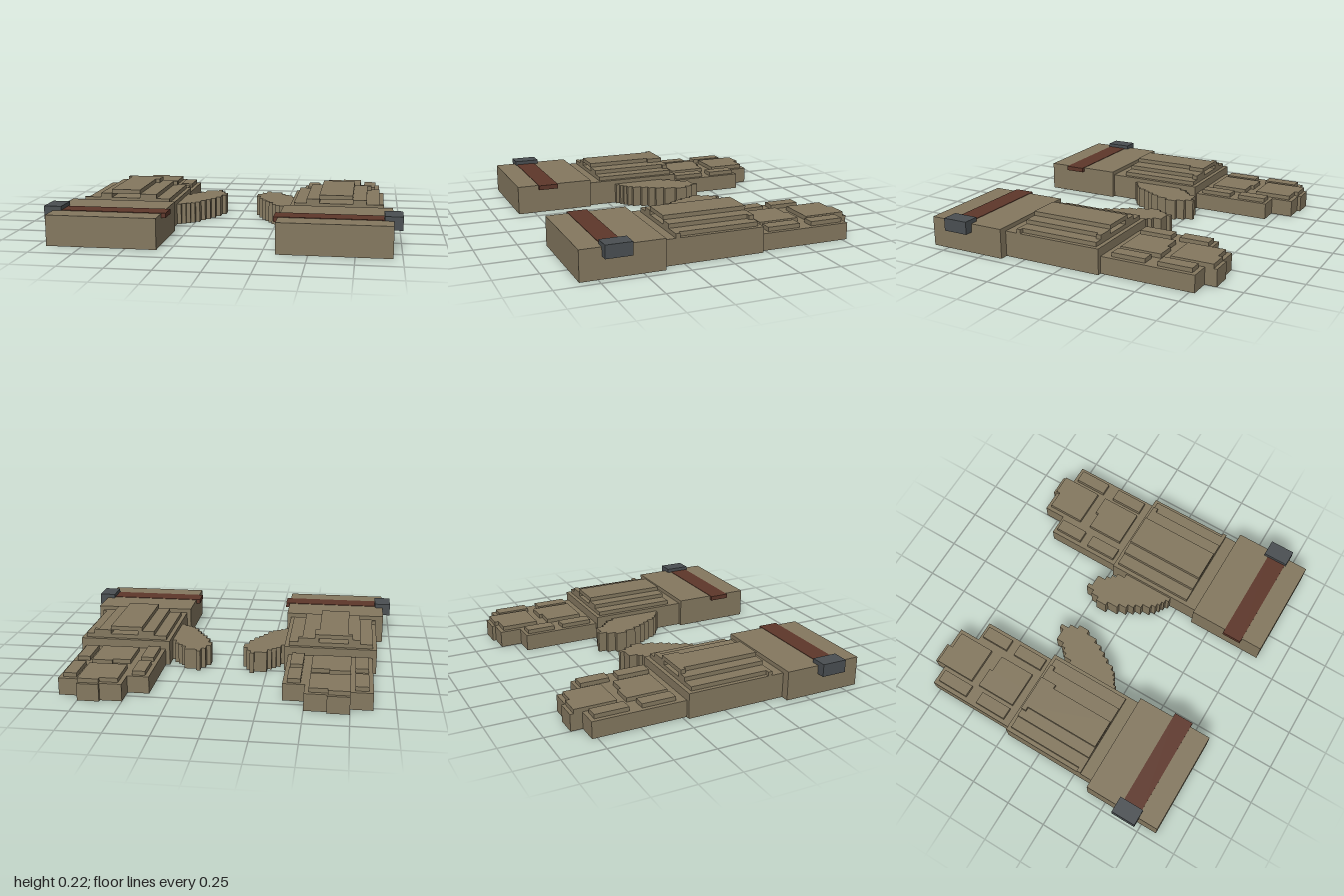
import * as THREE from 'three';

const cloth = new THREE.MeshStandardMaterial({ color: 0x84785f });
cloth.name = 'khaki cloth';
const leather = new THREE.MeshStandardMaterial({ color: 0x5e372a });
leather.name = 'brown leather';
const metal = new THREE.MeshStandardMaterial({ color: 0x4a4f52 });
metal.name = 'dark metal';

// Box from its limits; s mirrors it across x
function block(group, name, s, [x0, x1], [y0, y1], [z0, z1], material = cloth) {
  const mesh = new THREE.Mesh(new THREE.BoxGeometry(x1 - x0, y1 - y0, z1 - z0), material);
  mesh.position.set(s * (x0 + x1) / 2, (y0 + y1) / 2, (z0 + z1) / 2);
  mesh.name = name;
  group.add(mesh);
}

// Upright slab from columns [x0, x1, zBack, zFront], joined into one stepped outline
function steppedSlab(group, name, s, columns, [y0, y1]) {
  const back = columns.flatMap(([a, b, z]) => [[a, z], [b, z]]);
  const front = columns.flatMap(([a, b, , z]) => [[a, z], [b, z]]).reverse();
  const points = [...back, ...front]
    .filter((p, i, all) => {
      const q = all[(i + 1) % all.length];
      return p[0] !== q[0] || p[1] !== q[1];
    })
    .map(([x, z]) => new THREE.Vector2(s * x, -z));
  const geometry = new THREE.ExtrudeGeometry(new THREE.Shape(points), { depth: y1 - y0, bevelEnabled: false });
  geometry.rotateX(-Math.PI / 2);
  const mesh = new THREE.Mesh(geometry, cloth);
  mesh.position.y = y0;
  mesh.name = name;
  group.add(mesh);
}

// Back and front end of each thumb column, from tip to root
const thumbEnds = [
  [-0.2, -0.13], [-0.25, -0.06], [-0.3, -0.01], [-0.275, 0.03], [-0.275, 0.07],
  [-0.275, 0.12], [-0.225, 0.147], [-0.2, 0.165], [-0.175, 0.18], [-0.125, 0.2],
];

function makeGlove(s) {
  const g = new THREE.Group();
  g.name = s > 0 ? 'leftGlove' : 'rightGlove';

  // Cuff, strap and buckle
  block(g, 'cuff', s, [0.325, 0.95], [0, 0.175], [0.375, 0.85]);
  block(g, 'strap', s, [0.3, 0.91], [0.15, 0.178], [0.6, 0.72], leather);
  block(g, 'buckle', s, [0.9, 1], [0.125, 0.2], [0.575, 0.727], metal);

  // Palm, fingers and thumb
  block(g, 'palm', s, [0.35, 0.9], [0, 0.15], [-0.225, 0.375]);
  steppedSlab(g, 'fingers', s, [
    [0.375, 0.5, -0.7, -0.225], [0.5, 0.625, -0.83, -0.225],
    [0.625, 0.75, -0.85, -0.225], [0.75, 0.875, -0.78, -0.225],
  ], [0, 0.1]);
  steppedSlab(g, 'thumb', s,
    thumbEnds.map(([a, b], i) => [0.1 + i * 0.025, 0.1 + (i + 1) * 0.025, a, b]), [0, 0.125]);

  // Knuckle pads
  const padHeight = [0.1, 0.125];
  for (const z of [[-0.68, -0.505], [-0.45, -0.257]]) block(g, 'indexPad', s, [0.4, 0.475], padHeight, z);
  for (const z of [[-0.755, -0.555], [-0.48, -0.28]]) block(g, 'littlePad', s, [0.775, 0.85], padHeight, z);
  for (const [outer, inner, front] of [[-0.83, -0.805, -0.58], [-0.525, -0.505, -0.28]]) {
    steppedSlab(g, 'middlePad', s, [[0.525, 0.63, inner, front], [0.63, 0.75, outer, front]], padHeight);
  }

  // Back-of-hand plates: a base, two side rails and a raised bridge
  block(g, 'basePlate', s, [0.375, 0.875], [0.15, 0.175], [-0.2, 0.3]);
  block(g, 'basePlateTab', s, [0.875, 0.9], [0.15, 0.175], [0.275, 0.3]);
  const rail = [0.175, 0.2], bridge = [0.2, 0.225];
  if (s > 0) {
    steppedSlab(g, 'innerRail', s, [[0.45, 0.525, -0.2, 0.3], [0.525, 0.55, -0.2, -0.17]], rail);
    steppedSlab(g, 'outerRail', s, [[0.72, 0.8, -0.2, 0.3], [0.8, 0.825, -0.2, -0.17]], rail);
    block(g, 'bridgePlate', s, [0.525, 0.72], bridge, [-0.2, 0.3]);
  } else {
    steppedSlab(g, 'innerRail', s, [[0.43, 0.455, -0.2, -0.17], [0.455, 0.555, -0.2, 0.3]], rail);
    block(g, 'outerRail', s, [0.73, 0.8], rail, [-0.2, 0.3]);
    steppedSlab(g, 'bridgePlate', s, [
      [0.53, 0.555, -0.2, -0.1], [0.555, 0.73, -0.2, 0.3], [0.73, 0.755, -0.2, -0.17],
    ], bridge);
  }
  return g;
}

// Clockwise outlines are reversed by the extruder, so both sides face outwards
export function createModel() {
  const model = new THREE.Group();
  model.name = 'gloves';
  model.add(makeGlove(1), makeGlove(-1));
  return model;
}
